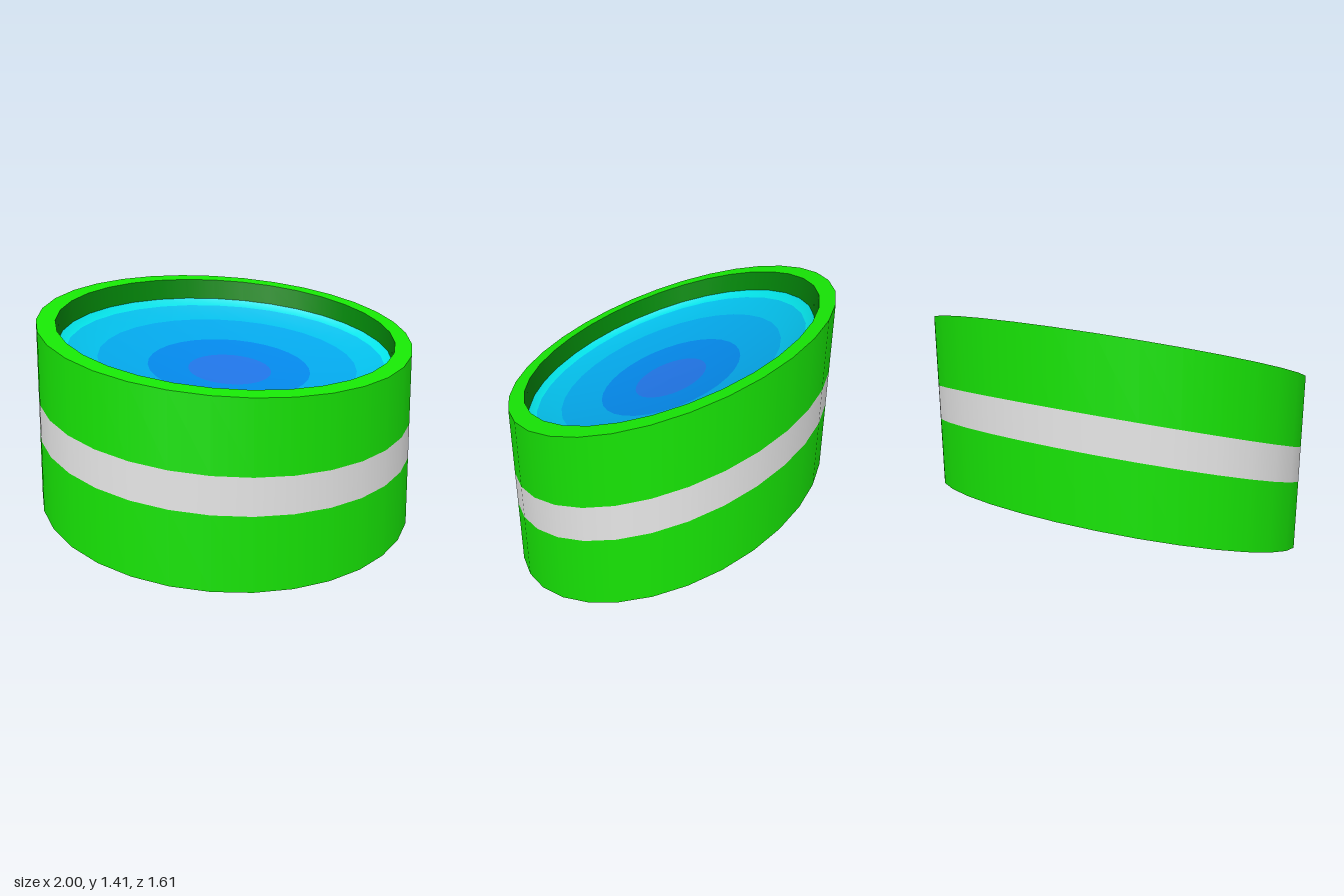
import * as THREE from 'three';

const SIDES = 32;
const DEPTH = 0.805;   // z radius (x radius is 1)
const SLOPE = 0.32;    // how much the body rises towards the back

const material = (name, color) => {
  const m = new THREE.MeshStandardMaterial({ color });
  m.name = name;
  return m;
};

export function createModel() {
  const group = new THREE.Group();
  group.name = 'slantedBowl';

  const green = material('bright green', 0x17e405);
  const darkGreen = material('dark green', 0x038c0a);
  const grey = material('light grey', 0xe6e6e6);

  // Squash to an ellipse, then slant along z and lift onto the ground
  const slant = new THREE.Matrix4().set(
    1, 0, 0, 0,
    0, 1, -SLOPE * DEPTH, SLOPE * DEPTH,
    0, 0, DEPTH, 0,
    0, 0, 0, 1,
  );

  // Turned surface through [radius, height, z squash = 1] points, one material per band
  const turned = (name, points, materials) => {
    const profile = points.map(([r, h]) => new THREE.Vector2(r, h));
    const geometry = new THREE.LatheGeometry(profile, SIDES);
    const position = geometry.attributes.position;
    for (let k = 0; k < position.count; k++) {
      position.setZ(k, position.getZ(k) * (points[k % points.length][2] ?? 1));
    }
    const bands = points.length - 1;
    for (let i = 0; i < SIDES * bands; i++) geometry.addGroup(i * 6, 6, i % bands);
    const mesh = new THREE.Mesh(geometry.applyMatrix4(slant), materials);
    mesh.name = name;
    group.add(mesh);
  };

  // Body: base, outer wall with stripe, rim and inner wall
  const dishTop = [0.898, 0.79, 0.985];
  turned('base', [[0, 0], [1, 0]], [darkGreen]);
  turned('outerWall', [[1, 0], [1, 0.358], [1, 0.538], [1, 0.896]], [green, grey, green]);
  turned('rim', [[1, 0.896], [0.905, 0.896]], [green]);
  turned('innerWall', [[0.905, 0.896], dishTop], [darkGreen]);

  // Dish: concentric bands deepening smoothly towards the centre
  turned('dish', [
    dishTop,
    [0.857, 0.762, 0.977],
    [0.7, 0.722, 0.985],
    [0.44, 0.686],
    [0.225, 0.671],
    [0, 0.668],
  ], [
    material('cyan', 0x03e6ec),
    material('sky blue', 0x03c0ec),
    material('azure', 0x03a6e8),
    material('blue', 0x0386e6),
    material('violet blue', 0x1f73e3),
  ]);

  return group;
}
